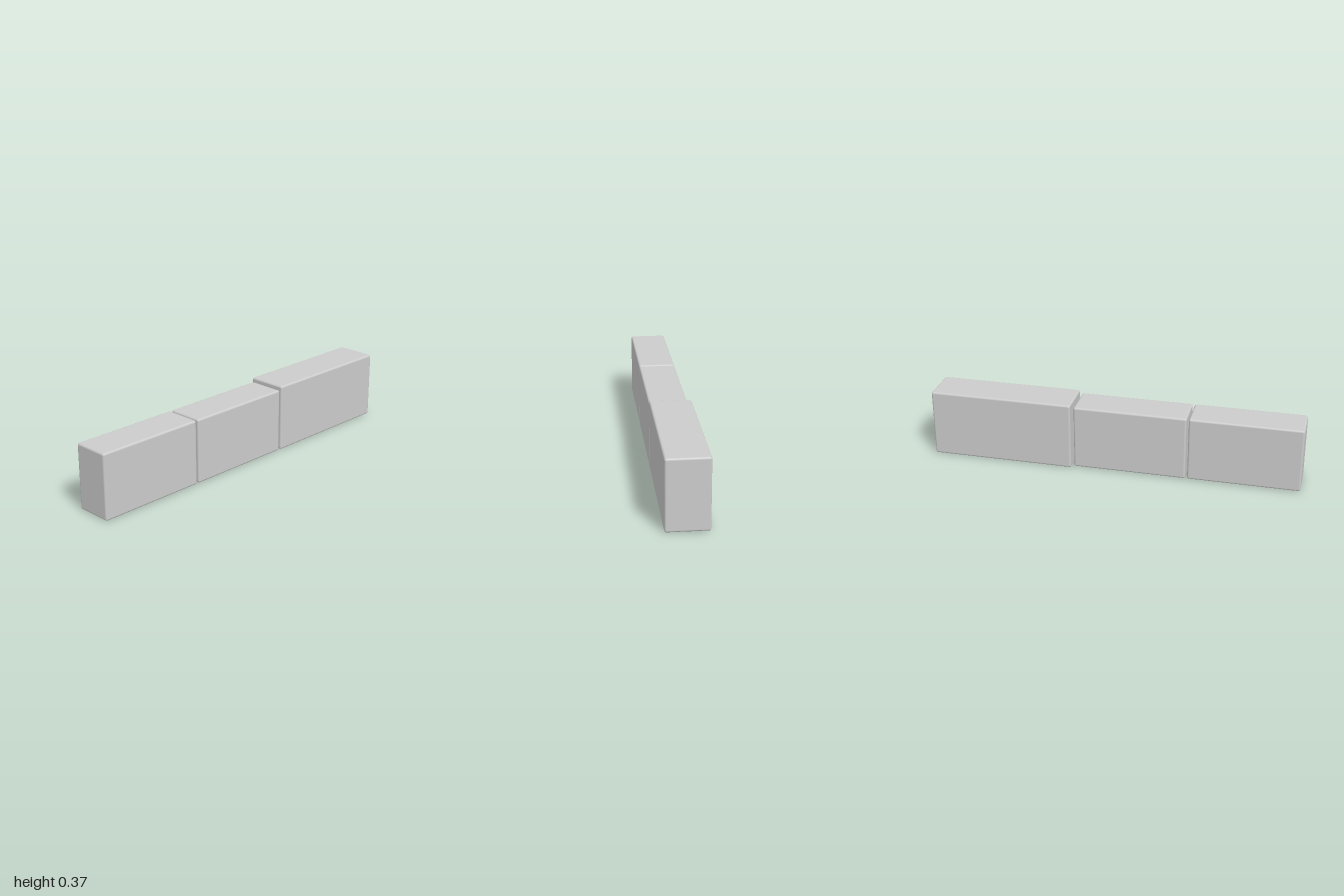
import * as THREE from 'three';
import { RoundedBoxGeometry } from 'three/addons/geometries/RoundedBoxGeometry.js';

export function createModel() {
  const group = new THREE.Group();
  const material = new THREE.MeshStandardMaterial({ color: 0xcccccc });

  // Softly bevelled block given by its extents
  function block(name, [x0, x1], [y0, y1], [z0, z1]) {
    const geometry = new RoundedBoxGeometry(x1 - x0, y1 - y0, z1 - z0, 3, 0.011);
    const mesh = new THREE.Mesh(geometry, material);
    mesh.name = name;
    mesh.position.set((x0 + x1) / 2, (y0 + y1) / 2, (z0 + z1) / 2);
    group.add(mesh);
  }

  // Row of three blocks, flush on the left side, with narrow gaps between
  block('frontBlock', [-0.09, 0.109], [0.003, 0.353], [0.404, 1]);
  block('middleBlock', [-0.09, 0.109], [0.003, 0.353], [-0.213, 0.393]);
  block('backBlock', [-0.109, 0.109], [0.002, 0.369], [-1, -0.226]);

  return group;
}
